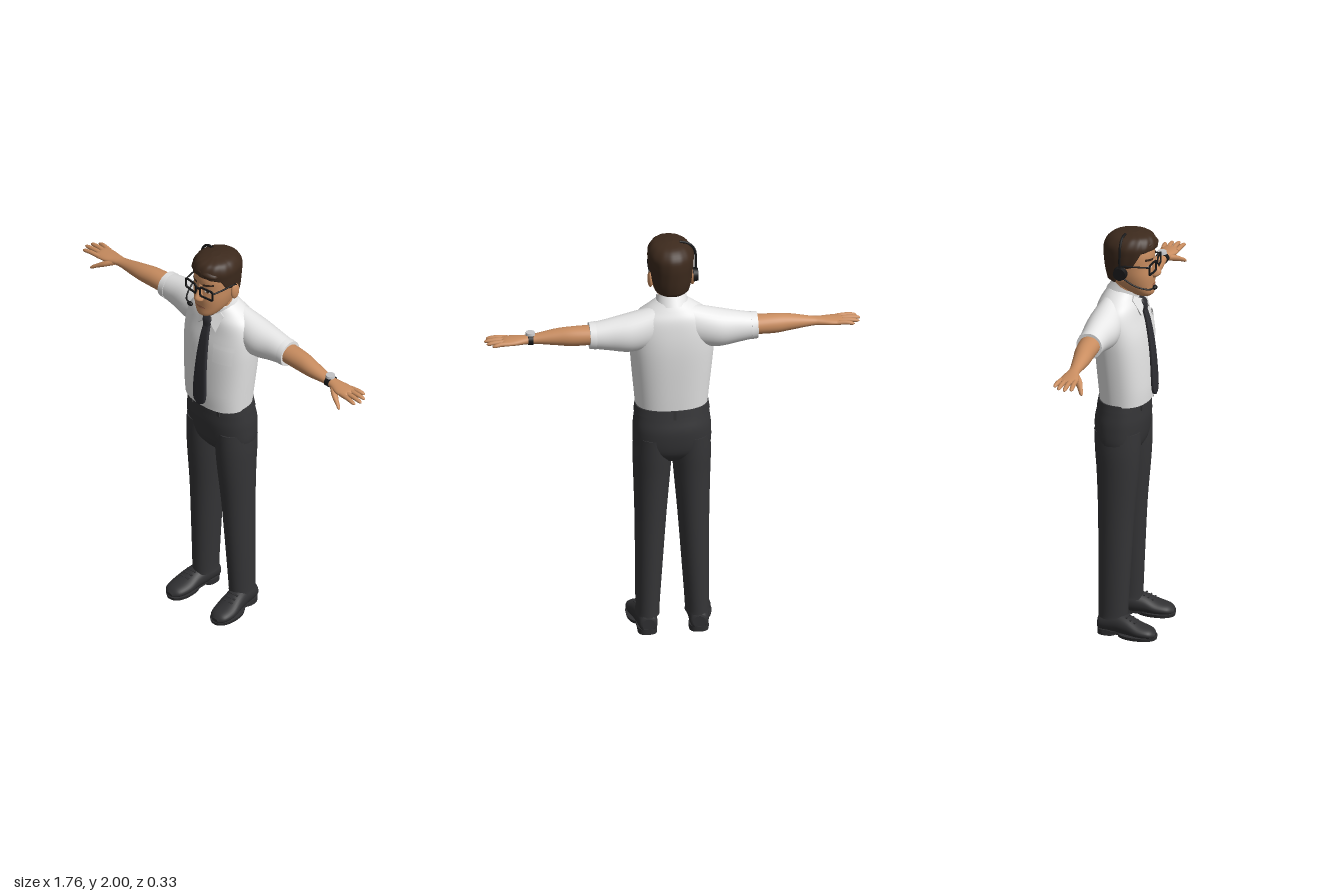
import * as THREE from 'three';

const mat = (name, color, side = THREE.FrontSide) => {
  const m = new THREE.MeshStandardMaterial({ color, side });
  m.name = name;
  return m;
};

// Section: [t, c1, c2, r1, r2, exponent]; smooth interpolation between neighbours
function sample(secs, u) {
  const last = secs.length - 1, i = Math.min(Math.floor(u), last - 1), f = u - i;
  const at = (k, n) => secs[Math.max(0, Math.min(last, k))][n] ?? 2;
  return [0, 1, 2, 3, 4, 5].map((n) => {
    const a = at(i - 1, n), b = at(i, n), c = at(i + 1, n), d = at(i + 2, n);
    return b + 0.5 * f * (c - a + f * (2 * a - 5 * b + 4 * c - d + f * (3 * (b - c) + d - a)));
  });
}

// Closed superellipse loft. axis y: c1=x c2=z; axis x: c1=z c2=y; axis z: c1=y c2=x
function loft(secs, axis = 'y', { seg = 32, step = 5, start = null, ripple = null } = {}) {
  const pos = [], idx = [], last = secs.length - 1, rows = last * step;
  const push = (a, t, b) => pos.push(...(axis === 'y' ? [a, t, b] : axis === 'x' ? [t, b, a] : [b, a, t]));
  const sgn = (v, n) => Math.sign(v) * Math.abs(v) ** (2 / n);
  const point = (i, j) => {
    const th = (j / seg) * Math.PI * 2, u0 = start ? start(th) : 0;
    const [t, c1, c2, r1, r2, n] = sample(secs, u0 + ((last - u0) * i) / rows);
    const k = (start && i === 0 ? 0.9 : 1) * (ripple ? ripple(th, i / rows) : 1);
    push(c1 + k * r1 * sgn(Math.cos(th), n), t, c2 + k * r2 * sgn(Math.sin(th), n));
  };
  for (let i = 0; i <= rows; i++) for (let j = 0; j < seg; j++) point(i, j);
  for (let i = 0; i < rows; i++) for (let j = 0; j < seg; j++) {
    const a = i * seg + j, b = i * seg + ((j + 1) % seg);
    idx.push(a, a + seg, b, b, a + seg, b + seg);
  }
  for (const end of start ? [rows] : [0, rows]) {
    const c = pos.length / 3, s = secs[end ? last : 0];
    push(s[1], s[0], s[2]);
    for (let j = 0; j < seg; j++) point(end, j);
    for (let j = 0; j < seg; j++) {
      const p = c + 1 + j, q = c + 1 + ((j + 1) % seg);
      idx.push(c, ...(end ? [q, p] : [p, q]));
    }
  }
  const g = new THREE.BufferGeometry();
  g.setAttribute('position', new THREE.Float32BufferAttribute(pos, 3));
  g.setIndex(idx);
  g.computeVertexNormals();
  return g;
}

// Lay a flat geometry onto the front of a vertical loft
function drape(geo, x, y, secs, off) {
  geo.translate(x, y, 0);
  const p = geo.attributes.position;
  for (let k = 0; k < p.count; k++) {
    let lo = 0, hi = secs.length - 1;
    for (let n = 0; n < 20; n++) {
      const m = (lo + hi) / 2;
      if (sample(secs, m)[0] < p.getY(k)) lo = m; else hi = m;
    }
    const [, cx, cz, rx, rz, n] = sample(secs, lo);
    p.setZ(k, cz + rz * Math.max(0, 1 - Math.abs((p.getX(k) - cx) / rx) ** n) ** (1 / n) + off);
  }
  geo.computeVertexNormals();
  return geo;
}

function flip(geo) {
  const g = geo.clone().scale(-1, 1, 1);
  const src = g.index ? Array.from(g.index.array) : Array.from({ length: g.attributes.position.count }, (_, i) => i);
  g.setIndex(src.map((_, k) => src[k - (k % 3) + 2 - (k % 3)]));
  return g;
}

const tube = (pts, r, n = 24) =>
  new THREE.TubeGeometry(new THREE.CatmullRomCurve3(pts.map((p) => new THREE.Vector3(...p))), n, r, 8);
const box = (w, h, d, x, y, z) => new THREE.BoxGeometry(w, h, d).translate(x, y, z);
const ball = (rx, ry, rz, x, y, z) => new THREE.SphereGeometry(1, 20, 14).scale(rx, ry, rz).translate(x, y, z);
const oval = (w, h) => new THREE.CircleGeometry(1, 24).scale(w, h, 1);

export function createModel() {
  const root = new THREE.Group();
  root.name = 'officeWorker';
  const skin = mat('skin', 0xc98d60), hairM = mat('darkBrownHair', 0x3d2a1d, THREE.DoubleSide);
  const shirt = mat('whiteShirt', 0xe6e6e6, THREE.DoubleSide), cloth = mat('charcoalTrousers', 0x353537);
  const leather = mat('shoeLeather', 0x303032), tieM = mat('darkTie', 0x2e2e33);
  const black = mat('blackPlastic', 0x171718, THREE.DoubleSide), silver = mat('silver', 0xc4c4c6);
  const lip = mat('lips', 0xa96a4c, THREE.DoubleSide);
  const add = (name, m, geo) => {
    const mesh = new THREE.Mesh(geo, m);
    mesh.name = name;
    root.add(mesh);
  };
  const pair = (name, m, geo) => {
    add(name + 'Left', m, geo);
    add(name + 'Right', m, flip(geo));
  };

  // Shirt
  const torso = [
    [1.165, 0, -0.021, 0.168, 0.119, 2.4], [1.25, 0, -0.024, 0.176, 0.124, 2.4],
    [1.4, 0, -0.034, 0.19, 0.126, 2.4], [1.5, 0, -0.042, 0.197, 0.122, 2.4],
    [1.58, 0, -0.05, 0.194, 0.11, 2.4], [1.64, 0, -0.052, 0.17, 0.098, 2.3],
    [1.68, 0, -0.05, 0.12, 0.08, 2.1], [1.71, 0, -0.045, 0.075, 0.065],
  ];
  add('shirtBody', shirt, loft(torso, 'y', { seg: 48 }));
  pair('sleeve', shirt, loft([
    [0.08, -0.075, 1.592, 0.07, 0.1], [0.2, -0.078, 1.568, 0.082, 0.094],
    [0.3, -0.083, 1.566, 0.068, 0.076], [0.385, -0.084, 1.566, 0.059, 0.06],
  ], 'x'));
  pair('sleeveCuff', shirt, loft([[0.362, -0.084, 1.566, 0.064, 0.066], [0.392, -0.084, 1.566, 0.062, 0.063]], 'x', { step: 1 }));
  add('pocket', shirt, drape(new THREE.PlaneGeometry(0.1, 0.095, 10, 6), 0.11, 1.492, torso, 0.005));
  add('pocketFlap', shirt, drape(new THREE.PlaneGeometry(0.104, 0.022, 10, 2), 0.11, 1.532, torso, 0.009));
  add('collarBand', shirt, new THREE.CylinderGeometry(0.069, 0.082, 0.062, 32, 1, true)
    .scale(1, 1, 0.98).rotateX(0.42).translate(0, 1.698, -0.034));
  const flap = new THREE.Shape([[0.004, 0.06], [0.055, 0.1], [0.075, 0.085], [0.058, 0], [0.03, 0.025]]
    .map((p) => new THREE.Vector2(...p)));
  pair('collarPoint', shirt, new THREE.ExtrudeGeometry(flap, { depth: 0.008, bevelEnabled: false })
    .rotateY(0.35).rotateX(-0.4).translate(0, 1.603, 0.076));

  // Tie
  add('tieBlade', tieM, loft([
    [1.183, 0, 0.112, 0.004, 0.006, 4], [1.222, 0, 0.111, 0.038, 0.009, 4], [1.4, 0, 0.1, 0.033, 0.009, 4],
    [1.55, 0, 0.077, 0.024, 0.009, 4], [1.63, 0, 0.053, 0.016, 0.009, 4],
  ], 'y', { seg: 24 }));
  add('tieKnot', tieM, loft([[1.61, 0, 0.062, 0.017, 0.011, 3], [1.645, 0, 0.053, 0.026, 0.016, 3], [1.668, 0, 0.04, 0.02, 0.012, 3]]));

  // Arms, hands
  pair('arm', skin, loft([
    [0.36, -0.083, 1.57, 0.052, 0.045], [0.47, -0.08, 1.567, 0.047, 0.046], [0.55, -0.072, 1.565, 0.04, 0.038],
    [0.65, -0.068, 1.56, 0.027, 0.022], [0.69, -0.067, 1.558, 0.03, 0.02], [0.74, -0.064, 1.556, 0.042, 0.018],
    [0.785, -0.064, 1.555, 0.043, 0.014], [0.8, -0.064, 1.554, 0.035, 0.007],
  ], 'x'));
  [[-0.03, -0.022, 0.865], [-0.053, -0.051, 0.878], [-0.076, -0.081, 0.87], [-0.097, -0.107, 0.846]].forEach(([z0, z1, x], i) => {
    pair('finger' + (i + 1), skin, loft([
      [0.765, z0, 1.556, 0.011, 0.011], [(0.765 + x) / 2, (z0 + z1) / 2, 1.558, 0.011, 0.0105],
      [x - 0.012, z1, 1.554, 0.009, 0.008], [x, z1, 1.552, 0.002, 0.002],
    ], 'x', { seg: 12, step: 3 }));
  });
  pair('thumb', skin, loft([
    [0.69, -0.05, 1.553, 0.012, 0.014], [0.725, -0.03, 1.54, 0.019, 0.016], [0.76, -0.01, 1.522, 0.013, 0.012],
    [0.785, 0.003, 1.507, 0.009, 0.009], [0.793, 0.006, 1.503, 0.002, 0.002],
  ], 'x', { seg: 14 }));
  add('watchStrap', black, loft([[0.652, -0.068, 1.56, 0.031, 0.027], [0.676, -0.068, 1.56, 0.032, 0.026]], 'x', { step: 1 }));
  add('watchCase', silver, new THREE.CylinderGeometry(0.021, 0.023, 0.012, 24).translate(0.664, 1.59, -0.068));

  // Trousers
  add('trouserHips', cloth, loft([
    [0.895, 0, -0.04, 0.12, 0.07], [0.95, 0, -0.043, 0.176, 0.107, 2.3], [1.05, 0, -0.043, 0.182, 0.122, 2.3],
    [1.12, 0, -0.038, 0.175, 0.116, 2.3], [1.17, 0, -0.034, 0.168, 0.11, 2.3],
  ], 'y', { seg: 48 }));
  pair('trouserLeg', cloth, loft([
    [0.085, 0.116, -0.055, 0.057, 0.069], [0.13, 0.115, -0.054, 0.056, 0.07], [0.35, 0.108, -0.05, 0.064, 0.077],
    [0.6, 0.1, -0.045, 0.074, 0.086], [0.8, 0.094, -0.04, 0.085, 0.099], [0.92, 0.091, -0.041, 0.091, 0.107],
    [1.02, 0.088, -0.043, 0.09, 0.11],
  ]));
  add('waistband', cloth, loft([[1.137, 0, -0.036, 0.177, 0.117, 2.3], [1.172, 0, -0.034, 0.172, 0.113, 2.3]], 'y', { seg: 48, step: 1 }));
  pair('beltLoop', cloth, box(0.014, 0.045, 0.008, 0.085, 1.153, 0.073));
  add('backBeltLoop', cloth, box(0.014, 0.045, 0.008, 0, 1.153, -0.153));

  // Shoes
  pair('shoeUpper', leather, loft([
    [-0.124, 0.05, 0.118, 0.03, 0.03], [-0.11, 0.055, 0.119, 0.045, 0.044], [-0.04, 0.06, 0.124, 0.052, 0.05],
    [0.02, 0.054, 0.132, 0.046, 0.054], [0.08, 0.04, 0.139, 0.033, 0.058], [0.135, 0.033, 0.143, 0.024, 0.046],
    [0.16, 0.026, 0.145, 0.011, 0.018],
  ], 'z'));
  const sole = [[0.004, 0.14, 0.07, 0.056, 0.092, 2.2], [0.02, 0.14, 0.07, 0.06, 0.096, 2.2]];
  pair('shoeSole', leather, loft(sole, 'y', { step: 1 }));
  pair('shoeArch', leather, box(0.075, 0.014, 0.13, 0.128, 0.018, -0.03));
  pair('shoeHeel', leather, loft([[0, 0.12, -0.08, 0.045, 0.046, 2.6], [0.028, 0.12, -0.08, 0.046, 0.047, 2.6]], 'y', { step: 1 }));
  for (let i = 0; i < 3; i++)
    pair('lace' + (i + 1), leather, box(0.05, 0.006, 0.008, 0, 0, 0).rotateX(0.4).translate(0.134 + i * 0.002, 0.099 - i * 0.01, 0.022 + i * 0.02));

  // Head
  const head = [
    [1.683, 0, 0.058, 0.026, 0.032], [1.7, 0, 0.046, 0.05, 0.06, 2.2], [1.74, 0, 0.02, 0.075, 0.086, 2.3],
    [1.79, 0, 0.008, 0.088, 0.1, 2.3], [1.84, 0, -0.003, 0.093, 0.106, 2.3], [1.9, 0, -0.008, 0.095, 0.112, 2.2],
    [1.95, 0, -0.012, 0.085, 0.1], [1.98, 0, -0.015, 0.04, 0.05],
  ];
  add('head', skin, loft(head, 'y', { seg: 40 }));
  add('neck', skin, loft([[1.62, 0, -0.035, 0.064, 0.062], [1.7, 0, -0.03, 0.06, 0.06], [1.78, 0, -0.025, 0.06, 0.06]]));
  add('nose', skin, loft([
    [1.78, 0, 0.108, 0.017, 0.012], [1.792, 0, 0.112, 0.022, 0.024], [1.808, 0, 0.111, 0.018, 0.029],
    [1.835, 0, 0.103, 0.012, 0.022], [1.868, 0, 0.096, 0.011, 0.012],
  ], 'y', { seg: 20 }));
  pair('ear', skin, ball(0.013, 0.042, 0.025, 0.098, 1.812, -0.025));
  pair('eyeWhite', shirt, drape(oval(0.017, 0.008), 0.042, 1.843, head, 0.003));
  pair('iris', hairM, drape(oval(0.007, 0.007), 0.042, 1.843, head, 0.005));
  pair('eyebrow', hairM, drape(new THREE.PlaneGeometry(0.048, 0.011, 8, 1).rotateZ(0.12), 0.043, 1.879, head, 0.005));
  add('mouth', lip, drape(oval(0.03, 0.006), 0, 1.744, head, 0.003));

  // Hair with a hairline running high in front and low behind
  const line = [[-1, 0], [-0.45, 0.1], [-0.25, 1.4], [-0.05, 2], [0.12, 1.7], [0.35, 1.9], [0.6, 3.1], [1, 3.45]];
  const hairline = (th) => {
    const s = Math.sin(th), k = Math.max(1, line.findIndex((p) => s <= p[0] + 1e-6)), [a, b] = [line[k - 1], line[k]];
    return THREE.MathUtils.mapLinear(s, a[0], b[0], a[1], b[1]) - (s > 0.6 ? 0.25 * Math.cos(th) : 0);
  };
  add('hair', hairM, loft([
    [1.75, 0, -0.022, 0.082, 0.093], [1.8, 0, -0.018, 0.095, 0.108], [1.85, 0, -0.012, 0.101, 0.12],
    [1.9, 0, -0.01, 0.106, 0.125], [1.945, 0.002, -0.005, 0.105, 0.122], [1.982, 0.005, 0.002, 0.077, 0.09], [1.996, 0.006, 0.005, 0.02, 0.025],
  ], 'y', { seg: 96, step: 4, start: hairline, ripple: (th, f) => 1 + 0.012 * Math.sin(th * 14 + f * 5) * (Math.sin(th) > 0 ? 1 : 0.4) }));
  add('fringe', hairM, ball(0.072, 0.024, 0.04, 0, 0, 0).rotateZ(-0.15).translate(0.012, 1.942, 0.078));

  // Glasses
  const rim = new THREE.Shape(), hole = new THREE.Path();
  for (const [p, w, h] of [[rim, 0.04, 0.028], [hole, 0.033, 0.021]]) {
    const r = 0.012;
    p.moveTo(-w + r, -h).lineTo(w - r, -h).quadraticCurveTo(w, -h, w, -h + r).lineTo(w, h - r)
      .quadraticCurveTo(w, h, w - r, h).lineTo(-w + r, h).quadraticCurveTo(-w, h, -w, h - r)
      .lineTo(-w, -h + r).quadraticCurveTo(-w, -h, -w + r, -h);
  }
  rim.holes.push(hole);
  pair('glassesRim', black, new THREE.ExtrudeGeometry(rim, { depth: 0.007, bevelEnabled: false, curveSegments: 6 })
    .rotateY(0.12).translate(0.048, 1.843, 0.112));
  pair('glassesTemple', black, tube([[0.088, 1.858, 0.108], [0.098, 1.858, 0.05], [0.102, 1.853, -0.02], [0.1, 1.835, -0.04]], 0.004));
  add('glassesBridge', black, box(0.022, 0.007, 0.008, 0, 1.853, 0.118));

  // Headset
  add('headsetEarpiece', black, new THREE.CylinderGeometry(0.03, 0.034, 0.024, 24).rotateZ(Math.PI / 2).translate(-0.112, 1.82, -0.025));
  add('headsetBand', black, tube([[-0.114, 1.835, -0.025], [-0.115, 1.9, -0.025], [-0.107, 1.953, -0.025], [-0.078, 1.985, -0.025], [-0.04, 1.993, -0.02]], 0.006));
  add('microphoneBoom', black, tube([[-0.116, 1.805, -0.015], [-0.113, 1.768, 0.05], [-0.085, 1.747, 0.108], [-0.048, 1.745, 0.125]], 0.004));
  add('microphone', black, ball(0.016, 0.011, 0.011, -0.046, 1.745, 0.125));
  return root;
}
